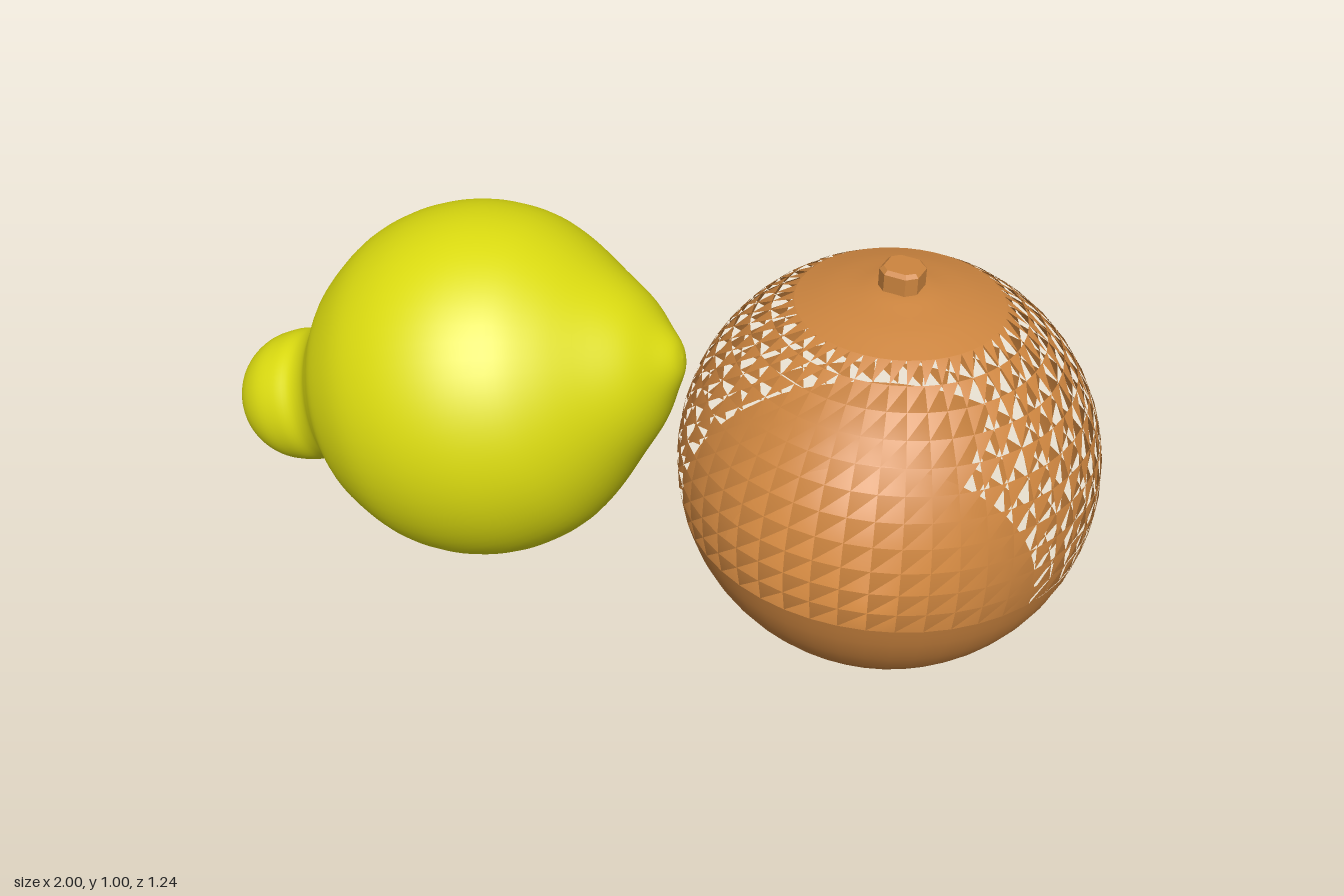
import * as THREE from 'three';

const V2 = (p) => new THREE.Vector2(p[0], p[1]);
const RADIUS = 0.472, CENTRE_Y = 0.5, COLUMNS = 48;
const deg = Math.PI / 180;

// Point on the round fruit's meridian at a given latitude
const ring = (lat) => [RADIUS * Math.cos(lat), CENTRE_Y + RADIUS * Math.sin(lat)];

// Smooth lathe through a few profile points, listed bottom to top
function lathe(points, segments, start = 0, length = Math.PI * 2, samples = 40) {
  const curve = new THREE.SplineCurve(points.map(V2));
  const profile = curve.getPoints(samples);
  profile.forEach((p) => { p.x = Math.max(p.x, 0); });
  return new THREE.LatheGeometry(profile, segments, start, length);
}

// Open net: one triangle of every grid cell is kept, the other is a hole
function net(lat0, lat1, rows, firstColumn, columns) {
  const position = [], normal = [];
  const add = (lat, column) => {
    const phi = (column / COLUMNS) * Math.PI * 2;
    const n = [Math.cos(lat) * Math.sin(phi), Math.sin(lat), Math.cos(lat) * Math.cos(phi)];
    normal.push(...n);
    position.push(n[0] * RADIUS, CENTRE_Y + n[1] * RADIUS, n[2] * RADIUS);
  };
  for (let r = 0; r < rows; r++) {
    const low = lat0 + ((lat1 - lat0) * r) / rows;
    const high = lat0 + ((lat1 - lat0) * (r + 1)) / rows;
    for (let c = firstColumn; c < firstColumn + columns; c++) {
      add(high, c);
      add(low, c);
      add(high, c + 1);
    }
  }
  const g = new THREE.BufferGeometry();
  g.setAttribute('position', new THREE.Float32BufferAttribute(position, 3));
  g.setAttribute('normal', new THREE.Float32BufferAttribute(normal, 3));
  return g;
}

export function createModel() {
  const model = new THREE.Group();
  model.name = 'fruitPair';

  const brown = new THREE.MeshStandardMaterial({ color: 0xcd853f, side: THREE.DoubleSide });
  brown.name = 'brownPeel';
  const yellow = new THREE.MeshStandardMaterial({ color: 0xdcdc10 });
  yellow.name = 'yellowPeel';

  const part = (parent, name, geometry, material) => {
    const mesh = new THREE.Mesh(geometry, material);
    mesh.name = name;
    parent.add(mesh);
    return mesh;
  };

  // Round fruit
  const round = new THREE.Group();
  round.name = 'roundFruit';
  round.position.set(0.525, 0, -0.15);
  model.add(round);

  const bottomLat = -39.5 * deg, rimLat = -13.5 * deg, capLat = 61.5 * deg;
  const arc = (a, b, n) => Array.from({ length: n + 1 }, (_, i) => ring(a + ((b - a) * i) / n));

  // Solid bowl with a slightly pointed base
  part(round, 'bowlBase',
    lathe([[0, 0.005], [0.05, 0.014], [0.12, 0.039], ...arc(-68 * deg, bottomLat, 4)], COLUMNS), brown);
  // Belt covering three quarters of the way round
  part(round, 'bowlBelt',
    lathe(arc(bottomLat, rimLat, 4), 36, Math.PI, Math.PI * 1.5, 8), brown);
  // Net in the open quarter and around the upper half
  part(round, 'lowerNet', net(bottomLat, rimLat, 4, 12, 12), brown);
  part(round, 'upperNet', net(rimLat, capLat, 11, 0, COLUMNS), brown);
  // Cap rising to the stem
  part(round, 'cap',
    lathe([ring(capLat), [0.16, 0.934], [0.1, 0.947], [0.05, 0.957], [0, 0.958]], COLUMNS, 0, Math.PI * 2, 20), brown);

  // Faceted stem: a square with cut corners
  const w = 0.044, c = 0.024;
  const outline = new THREE.Shape(
    [[w, -c], [w, c], [c, w], [-c, w], [-w, c], [-w, -c], [-c, -w], [c, -w]].map(V2));
  const stemGeometry = new THREE.ExtrudeGeometry(outline, {
    depth: 0.045, bevelEnabled: true, bevelThickness: 0.008, bevelSize: 0.008,
    bevelOffset: -0.008, bevelSegments: 1,
  });
  stemGeometry.rotateX(-Math.PI / 2);
  const stem = part(round, 'stem', stemGeometry, brown);
  stem.position.y = 0.952;
  stem.rotation.y = 0.2;

  // Tilted long fruit: knob, neck, round body and blunt tip in one profile
  const R = 0.427;
  const body = [-0.3, -0.2, -0.1, 0, 0.1, 0.2].map((s) => [Math.sqrt(R * R - s * s), s]);
  const longProfile = [
    [0, -0.655], [0.065, -0.642], [0.117, -0.607], [0.152, -0.553], [0.165, -0.49],
    [0.165, -0.44], [0.19, -0.395], [0.238, -0.355], ...body,
    [0.318, 0.28], [0.235, 0.36], [0.16, 0.43], [0.09, 0.475], [0.04, 0.505], [0, 0.513],
  ];
  const long = part(model, 'longFruit', lathe(longProfile, 64, 0, Math.PI * 2, 90), yellow);
  long.position.set(-0.41, 0.485, 0.19);
  long.quaternion.setFromUnitVectors(
    new THREE.Vector3(0, 1, 0), new THREE.Vector3(0.869, 0.273, -0.414).normalize());

  return model;
}
